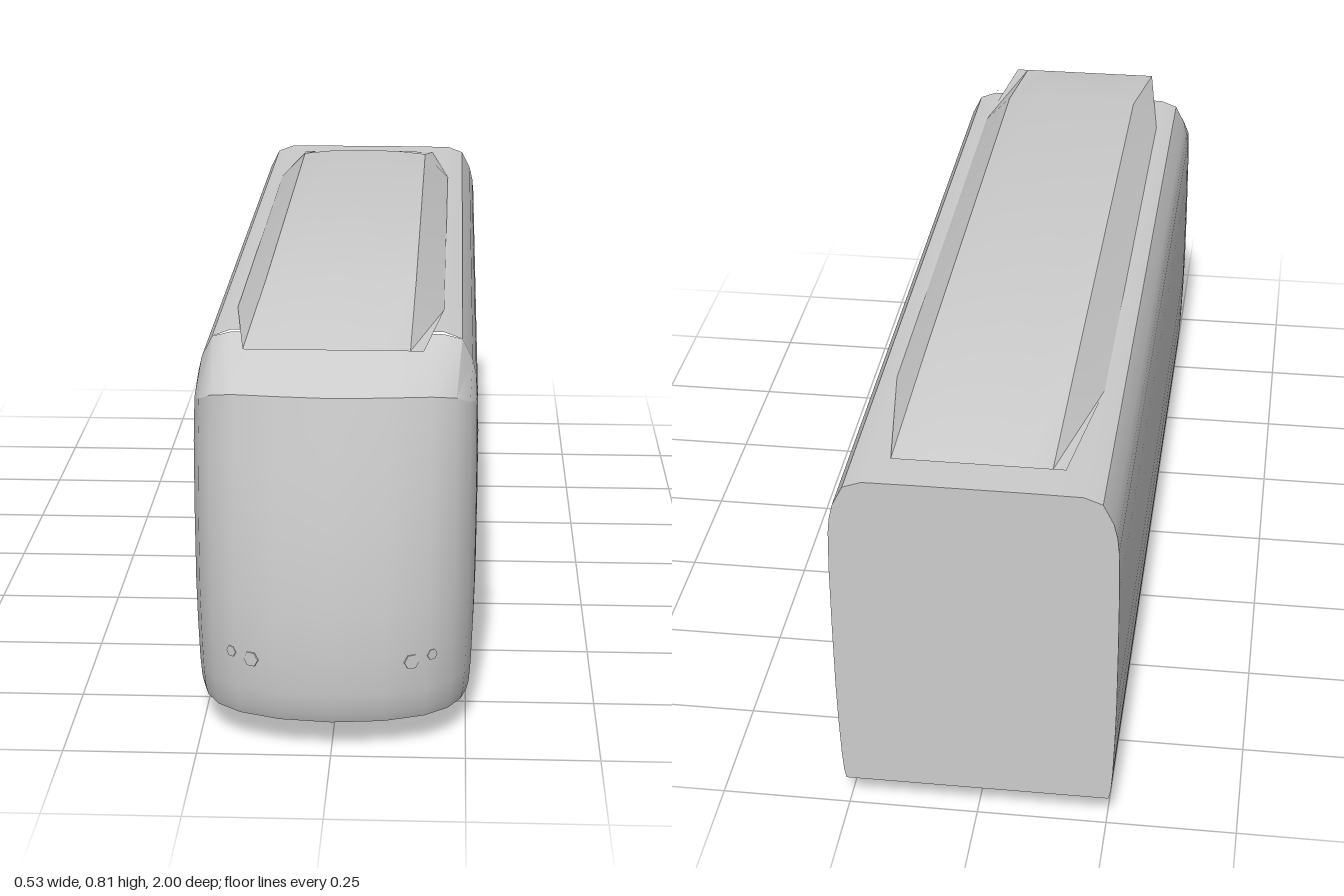
import * as THREE from 'three';
import { toCreasedNormals } from 'three/addons/utils/BufferGeometryUtils.js';

const FLOOR = 0.06, SEAM = 0.73, REAR = -1;

// Skin a grid of cross-sections, each a list of [x, y, z]
function skin(rows, crease = 0.6) {
  const pos = [];
  for (let i = 0; i < rows.length - 1; i++) {
    for (let j = 0; j < rows[i].length - 1; j++) {
      const a = rows[i][j], b = rows[i][j + 1], c = rows[i + 1][j], d = rows[i + 1][j + 1];
      pos.push(...a, ...b, ...d, ...a, ...d, ...c);
    }
  }
  const g = new THREE.BufferGeometry();
  g.setAttribute('position', new THREE.Float32BufferAttribute(pos, 3));
  return toCreasedNormals(g, crease);
}

// Mirror a half list running from +x to the centre line
const mirror = (half) => [...half, ...half.slice(0, -1).reverse().map(([x, ...r]) => [-x, ...r])];

export function createModel() {
  const group = new THREE.Group();
  const grey = new THREE.MeshStandardMaterial({ color: 0xcccccc });
  const greyThin = new THREE.MeshStandardMaterial({ color: 0xcccccc, side: THREE.DoubleSide });
  greyThin.name = 'thin body grey';
  grey.name = 'body grey';
  const add = (name, geo, mat = grey) => {
    const m = new THREE.Mesh(geo, mat);
    m.name = name;
    group.add(m);
    return m;
  };

  // Wall profile: height, half width, front reach
  const wall = [
    [0.06, 0.254, 0.983], [0.08, 0.258, 0.992], [0.12, 0.261, 0.998], [0.2, 0.264, 1],
    [0.28, 0.266, 0.996], [0.42, 0.267, 0.978], [0.55, 0.267, 0.953], [0.63, 0.265, 0.936],
  ];
  const roof = [[0.265, 0.63], [0.262, 0.66], [0.255, 0.69], [0.235, 0.73], [0.2, 0.743], [0.1, 0.744], [0, 0.744]];

  // Main body
  const section = mirror([...wall.slice(0, -1).map(([y, w]) => [w, y]), ...roof]);
  add('body', skin([REAR, SEAM].map((z) => section.map(([x, y]) => [x, y, z]))));
  const rear = new THREE.ShapeGeometry(new THREE.Shape(section.map(([x, y]) => new THREE.Vector2(-x, y))));
  rear.rotateY(Math.PI).translate(0, 0, REAR);
  add('rearWall', rear);

  // Rounded nose: plan curve as [width fraction, reach fraction, rim height]
  const plan = [
    [1, 0, 0.63], [0.99, 0.36, 0.632], [0.945, 0.54, 0.64], [0.85, 0.71, 0.658],
    [0.68, 0.85, 0.668], [0.38, 0.96, 0.672], [0, 1, 0.672],
  ];
  const noseRow = (w, reach, y) => mirror(plan.map(([fx, fz, rim]) =>
    [fx * w, y ?? rim, SEAM + fz * (reach - SEAM)])).reverse();
  const rim = noseRow(0.265, 0.927);
  const noseRows = wall.slice(0, -1).map(([y, w, reach]) => noseRow(w, reach, y));
  add('nose', skin([...noseRows, rim]));

  // Sloping hood from the nose rim back to the roof
  const roofLine = mirror(roof.map(([x, y], i) => [x, y, SEAM + (i > 3 ? 0.015 : 0)])).reverse();
  add('hood', skin([rim, roofLine], 0.5));

  // Floor
  const outline = [[-0.254, REAR], [0.254, REAR], ...[...noseRows[0]].reverse().map((p) => [p[0], p[2]])];
  const floor = new THREE.ShapeGeometry(new THREE.Shape(outline.map(([x, z]) => new THREE.Vector2(x, z))));
  floor.rotateX(Math.PI / 2).translate(0, FLOOR, 0);
  add('floor', floor);

  // Raised roof fairing, tapering to a flat edge at both ends
  const raised = [[0.2, 0.744], [0.145, 0.8], [0.08, 0.807], [0, 0.809]];
  const flat = (w, z) => mirror([1, 0.85, 0.5, 0].map((f) => [f * w, 0.746, z]));
  const full = (z) => mirror(raised).map(([x, y]) => [x, y, z]);
  add('roofFairing', skin([flat(0.16, -0.92), full(-0.63), full(0.575), flat(0.165, 0.87)]), greyThin);

  // Headlights set flush on the nose
  for (const side of [-1, 1]) {
    for (const [name, x, y, z, r, turn] of [
      ['headlight', 0.148, 0.18, 0.9705, 0.015, 0.42], ['markerLight', 0.185, 0.188, 0.953, 0.011, 0.62],
    ]) {
      const lamp = new THREE.CylinderGeometry(r, r, 0.006, 6);
      lamp.rotateY(Math.PI / 6).rotateX(Math.PI / 2).rotateY(side * turn);
      add(name, toCreasedNormals(lamp, 0.5)).position.set(side * x, y, z);
    }
    // Small eight-sided wheels
    for (const z of [-0.215, -0.62]) {
      const wheel = new THREE.CylinderGeometry(0.06, 0.06, 0.022, 8);
      wheel.rotateZ(Math.PI / 2);
      add('wheel', wheel).position.set(side * 0.17, 0.06, z);
    }
  }
  return group;
}
